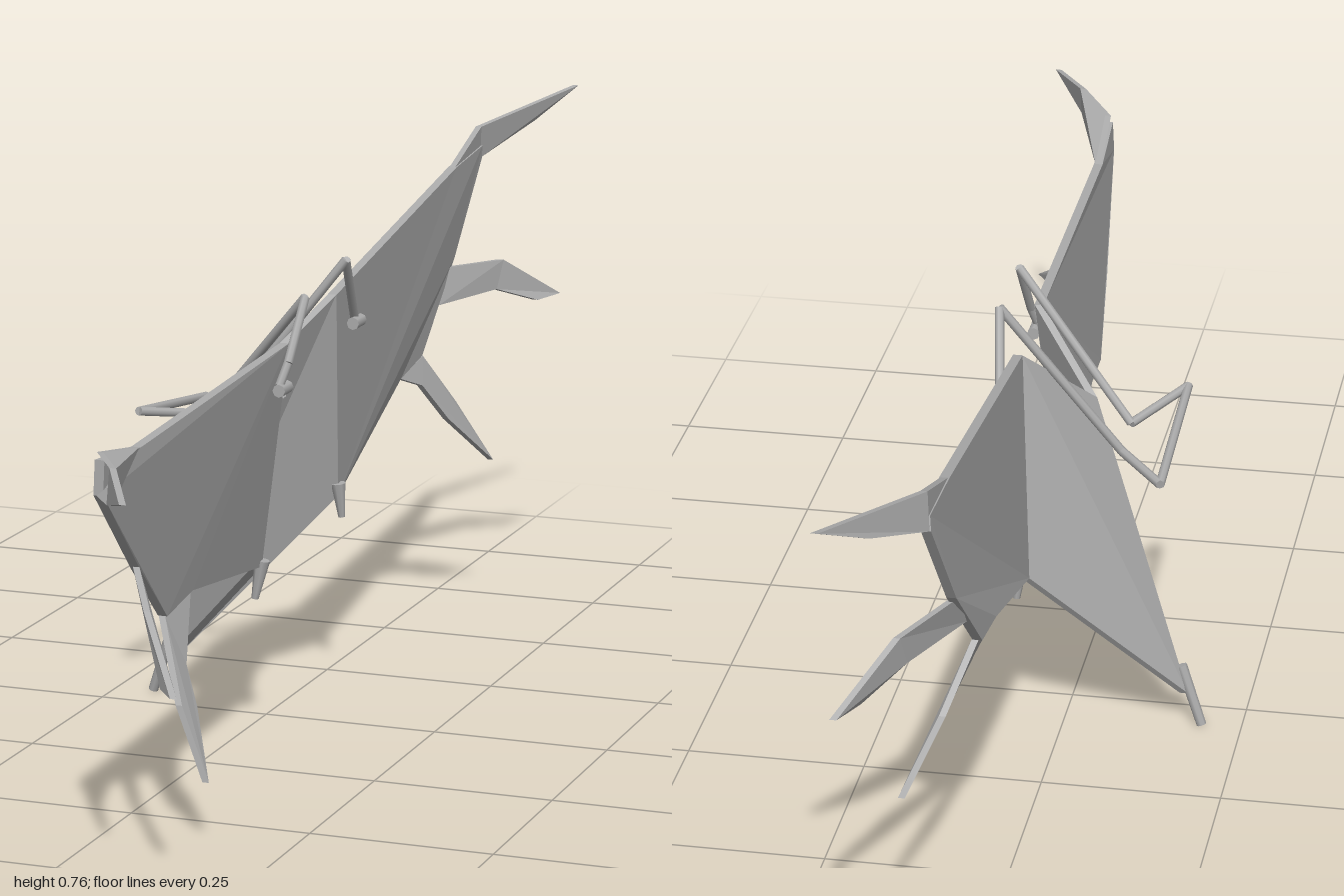
import * as THREE from 'three';

const grey = new THREE.MeshStandardMaterial({ color: 0xacacac });
grey.name = 'plain grey';

// Thin plate from an outline of [x, y, z] corners, thickened along x
function plate(name, corners, thickness) {
  const flat = c => new THREE.Vector2(-c[2], c[1]);
  let pts = corners;
  if (THREE.ShapeUtils.area(pts.map(flat)) < 0) pts = [...pts].reverse();
  const pos = [];
  const at = (i, s) => [pts[i][0] + s * thickness / 2, pts[i][1], pts[i][2]];
  const tri = (a, b, c) => pos.push(...a, ...b, ...c);
  for (const [a, b, c] of THREE.ShapeUtils.triangulateShape(pts.map(flat), [])) {
    tri(at(a, 1), at(b, 1), at(c, 1));
    tri(at(c, -1), at(b, -1), at(a, -1));
  }
  pts.forEach((_, i) => {
    const j = (i + 1) % pts.length;
    tri(at(i, -1), at(j, -1), at(j, 1));
    tri(at(i, -1), at(j, 1), at(i, 1));
  });
  const geo = new THREE.BufferGeometry();
  geo.setAttribute('position', new THREE.Float32BufferAttribute(pos, 3));
  geo.computeVertexNormals();
  const mesh = new THREE.Mesh(geo, grey);
  mesh.name = name;
  return mesh;
}

// Straight round bar between two points
function bar(name, a, b, r0 = 0.007, r1 = r0) {
  const p = new THREE.Vector3(...a), q = new THREE.Vector3(...b);
  const dir = q.clone().sub(p);
  const mesh = new THREE.Mesh(new THREE.CylinderGeometry(r1, r0, dir.length(), 8), grey);
  mesh.position.copy(p).add(q).multiplyScalar(0.5);
  mesh.quaternion.setFromUnitVectors(new THREE.Vector3(0, 1, 0), dir.normalize());
  mesh.name = name;
  return mesh;
}

// Bars chained through a list of points
function bentBar(name, points, r) {
  const g = new THREE.Group();
  g.name = name;
  for (let i = 1; i < points.length; i++) g.add(bar(name + 'Section', points[i - 1], points[i], r));
  return g;
}

export function createModel() {
  const model = new THREE.Group();
  model.name = 'foldedWings';

  // Shared hinge corners of the four panels
  const leftTop = [0.066, 0.56, 0.104], leftLow = [0.028, 0.245, 0.108];
  const rightTop = [0.055, 0.586, -0.115], rightLow = [0.035, 0.281, -0.18];
  const foldTop = [-0.03, 0.48, -0.01], foldLow = [-0.168, 0.05, -0.053];

  // V-shaped body
  model.add(plate('leftBodyPanel', [leftTop, foldTop, foldLow, leftLow], 0.012));
  model.add(plate('rightBodyPanel', [foldTop, rightTop, rightLow, foldLow], 0.012));

  // Wing panels
  model.add(plate('leftWingPanel', [leftTop, [0.078, 0.537, 0.665], [0.085, 0.55, 0.8], [0.083, 0.505, 0.8],
    [0.066, 0.372, 0.64], [0.056, 0.281, 0.525], [0.052, 0.291, 0.425], leftLow], 0.013));
  model.add(plate('rightWingPanel', [rightTop, [0.044, 0.677, -0.67], [0.042, 0.69, -0.8], [0.04, 0.671, -0.805],
    [0.028, 0.532, -0.714], [0.021, 0.404, -0.586], [0.021, 0.388, -0.49], rightLow], 0.013));

  // Left wing feathers
  model.add(plate('leftUpperFeather', [[0.078, 0.537, 0.665], [0.086, 0.56, 0.8], [0.14, 0.564, 0.89],
    [0.198, 0.548, 1.0], [0.14, 0.52, 0.9], [0.085, 0.505, 0.8]], 0.009));
  model.add(plate('leftMiddleFeather', [[0.066, 0.378, 0.64], [0.12, 0.345, 0.735], [0.198, 0.268, 0.842],
    [0.168, 0.266, 0.8], [0.115, 0.32, 0.715], [0.062, 0.334, 0.607]], 0.009));
  model.add(plate('leftLowerFeather', [[0.056, 0.281, 0.527], [0.1, 0.18, 0.58], [0.143, 0.086, 0.596],
    [0.104, 0.168, 0.537], [0.081, 0.217, 0.516], [0.051, 0.291, 0.425]], 0.009));

  // Right wing feathers
  model.add(plate('rightUpperFeather', [[0.044, 0.677, -0.67], [0.044, 0.72, -0.794], [0.134, 0.759, -1.0],
    [0.09, 0.714, -0.917], [0.04, 0.671, -0.805]], 0.009));
  model.add(plate('rightMiddleFeather', [[0.028, 0.52, -0.69], [0.08, 0.516, -0.8], [0.14, 0.45, -0.9],
    [0.12, 0.447, -0.85], [0.075, 0.473, -0.783], [0.025, 0.468, -0.655]], 0.009));
  model.add(plate('rightLowerFeather', [[0.024, 0.404, -0.586], [0.055, 0.324, -0.65], [0.1, 0.226, -0.698],
    [0.062, 0.308, -0.596], [0.035, 0.366, -0.553], [0.021, 0.388, -0.49]], 0.009));

  // Pointed pegs at the lower hinge corners
  model.add(bar('leftPeg', [0.036, 0.255, 0.11], [0.026, 0.2, 0.112], 0.011, 0.005));
  model.add(bar('rightPeg', [0.042, 0.3, -0.178], [0.046, 0.25, -0.182], 0.011, 0.005));
  model.add(bar('foldPeg', [-0.163, 0.09, -0.045], [-0.194, 0.004, -0.056], 0.008, 0.007));

  // Bent struts from the wing roots to the handle behind the fold
  const handleRight = [-0.145, 0.42, -0.14], handleLeft = [-0.145, 0.45, 0.11];
  model.add(bentBar('leftStrut', [[0.075, 0.51, 0.147], [0.083, 0.54, 0.135], [0.09, 0.622, 0.088],
    [-0.08, 0.432, 0.015], handleLeft], 0.0065));
  model.add(bentBar('rightStrut', [[0.07, 0.54, -0.168], [0.085, 0.642, -0.088],
    [-0.08, 0.428, -0.065], handleRight], 0.0065));
  model.add(bar('handle', handleLeft, handleRight, 0.0065));

  // Strut feet and the small crossbar at the fold
  model.add(bar('leftFoot', [0.078, 0.505, 0.125], [0.078, 0.505, 0.158], 0.009));
  model.add(bar('rightFoot', [0.075, 0.54, -0.145], [0.075, 0.54, -0.178], 0.009));
  model.add(bar('crossbar', [-0.006, 0.457, 0.045], [-0.006, 0.465, -0.065], 0.011));
  model.add(bar('crossbarStem', [0.055, 0.485, 0.085], [-0.006, 0.457, 0.035], 0.007));
  return model;
}
